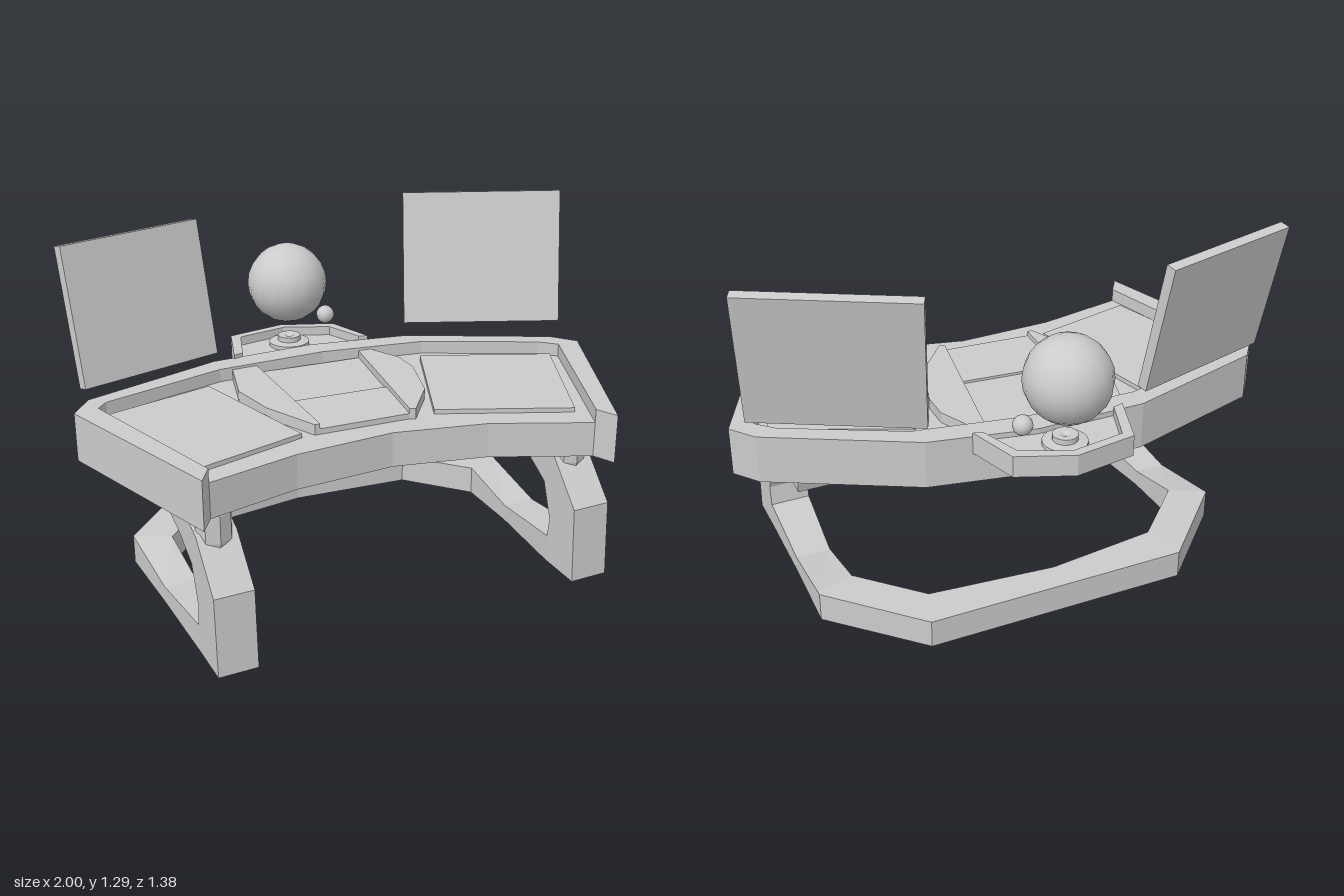
import * as THREE from 'three';

const grey = new THREE.MeshStandardMaterial({ color: 0xcccccc, flatShading: true, side: THREE.DoubleSide });
const smooth = new THREE.MeshStandardMaterial({ color: 0xcccccc });

function add(parent, name, geometry, material = grey) {
  const mesh = new THREE.Mesh(geometry, material);
  mesh.name = name;
  parent.add(mesh);
  return mesh;
}

// Flat slab: plan outline of [x, z] points between two heights.
function slab(parent, name, plan, y0, y1) {
  const shape = new THREE.Shape(plan.map(([x, z]) => new THREE.Vector2(x, -z)));
  const geo = new THREE.ExtrudeGeometry(shape, { depth: y1 - y0, bevelEnabled: false });
  geo.rotateX(-Math.PI / 2).translate(0, y0, 0);
  return add(parent, name, geo);
}

// Raised rim between an outer and an inner open line.
const rim = (parent, name, outer, inner, y0, y1) =>
  slab(parent, name, [...outer, ...[...inner].reverse()], y0, y1);

// Tilted panel from three front corners: bottom left, bottom right, top left.
function panel(parent, name, bl, br, tl, depth) {
  const p = new THREE.Vector3(...bl);
  const u = new THREE.Vector3(...br).sub(p), v = new THREE.Vector3(...tl).sub(p);
  const centre = p.clone().addScaledVector(u, 0.5).addScaledVector(v, 0.5);
  const n = u.clone().cross(v).normalize();
  const geo = new THREE.BoxGeometry(1, 1, 1).translate(0, 0, -0.5);
  geo.applyMatrix4(new THREE.Matrix4().makeBasis(u, v, n.multiplyScalar(depth)).setPosition(centre));
  add(parent, name, geo);
}

// Bar through four-cornered sections, closed at both ends.
function bar(parent, name, sections) {
  const pos = sections.flat(2), idx = [];
  for (let i = 0; i < sections.length - 1; i++)
    for (let k = 0; k < 4; k++) {
      const a = i * 4 + k, b = i * 4 + (k + 1) % 4;
      idx.push(a, b, b + 4, a, b + 4, a + 4);
    }
  const e = (sections.length - 1) * 4;
  idx.push(0, 2, 1, 0, 3, 2, e, e + 1, e + 2, e, e + 2, e + 3);
  const geo = new THREE.BufferGeometry();
  geo.setAttribute('position', new THREE.Float32BufferAttribute(pos, 3));
  geo.setIndex(idx);
  geo.computeVertexNormals();
  add(parent, name, geo);
}

export function createModel() {
  const model = new THREE.Group();
  model.name = 'desk';

  // Curved desktop with a rim round the sides and back
  const outer = [[-0.79, 0.53], [-1, -0.17], [-0.92, -0.27], [-0.38, -0.43], [0.03, -0.435],
    [0.42, -0.36], [0.93, -0.09], [1, 0], [0.685, 0.69]];
  const inner = [[-0.74, 0.455], [-0.91, -0.18], [-0.87, -0.22], [-0.39, -0.34], [0.04, -0.34],
    [0.44, -0.27], [0.85, -0.06], [0.91, 0], [0.65, 0.61]];
  const front = [[0.65, 0.61], [0.31, 0.45], [-0.03, 0.37], [-0.4, 0.385], [-0.74, 0.455]];
  slab(model, 'desktop', [...outer, ...front], 0.535, 0.665);
  rim(model, 'desktopRim', outer, inner, 0.665, 0.715);

  // Side pads and centre console
  slab(model, 'rightPad', [[-0.9, -0.18], [-0.46, -0.28], [-0.33, 0.27], [-0.73, 0.37]], 0.66, 0.682);
  slab(model, 'leftPad', [[0.4, -0.21], [0.87, 0], [0.64, 0.5], [0.18, 0.29]], 0.66, 0.682);
  slab(model, 'consoleRightSide',
    [[-0.24, -0.34], [-0.34, -0.34], [-0.4, -0.13], [-0.37, 0.06], [-0.28, 0.27], [-0.26, 0.27]], 0.66, 0.705);
  slab(model, 'consoleLeftSide',
    [[0.18, -0.31], [0.23, -0.31], [0.29, -0.18], [0.29, -0.07], [0.22, 0.15], [0.1, 0.3], [0.08, 0.29]], 0.66, 0.705);
  slab(model, 'consoleBack', [[-0.24, -0.34], [0.18, -0.31], [0.13, 0.03], [-0.25, 0]], 0.66, 0.676);
  slab(model, 'consoleFront', [[-0.25, 0], [0.13, 0.03], [0.08, 0.29], [-0.26, 0.27]], 0.66, 0.686);

  // Small tray at the back with a round stand
  const trayOuter = [[-0.3, -0.42], [-0.23, -0.63], [0, -0.665], [0.2, -0.585], [0.26, -0.39]];
  const trayInner = [[-0.26, -0.43], [-0.2, -0.6], [0, -0.63], [0.17, -0.555], [0.225, -0.4]];
  slab(model, 'backTray', trayOuter, 0.65, 0.695);
  rim(model, 'backTrayRim', trayOuter, trayInner, 0.695, 0.73);
  const stand = [[0, 0.69], [0.08, 0.69], [0.08, 0.71], [0.045, 0.715], [0.045, 0.735], [0.02, 0.735], [0, 0.725]];
  add(model, 'roundStand', new THREE.LatheGeometry(stand.map(([r, y]) => new THREE.Vector2(r, y)), 18))
    .position.set(-0.02, 0, -0.53);

  // Floating globe and its small companion
  add(model, 'globe', new THREE.SphereGeometry(0.155, 16, 12), smooth).position.set(-0.02, 0.95, -0.54);
  add(model, 'smallGlobe', new THREE.SphereGeometry(0.036, 12, 8), smooth).position.set(0.135, 0.8, -0.52);

  // Floating screens
  panel(model, 'rightScreen', [-0.935, 0.77, -0.235], [-0.38, 0.765, -0.385], [-0.96, 1.27, -0.335], 0.04);
  panel(model, 'leftScreen', [0.395, 0.78, -0.335], [0.945, 0.79, -0.06], [0.43, 1.285, -0.425], 0.04);

  // Curved legs: side profile as [z, y], with rounded brackets under the desktop
  const profile = [[0.56, 0], [0.545, 0.29], [0.4, 0.45], [0.19, 0.54], [-0.065, 0.54], [-0.035, 0.42],
    [0.11, 0.435], [0.235, 0.39], [0.345, 0.325], [0.395, 0.185], [0.385, 0.11], [0.385, 0.005]];
  for (const [side, x0, x1] of [['right', -0.775, -0.63], ['left', 0.635, 0.785]]) {
    const shape = new THREE.Shape(profile.map(([z, y]) => new THREE.Vector2(-z, y)));
    const geo = new THREE.ExtrudeGeometry(shape, { depth: x1 - x0, bevelEnabled: false });
    geo.rotateY(Math.PI / 2).translate(x0, 0, 0);
    add(model, side + 'Leg', geo);
    const x = (x0 + x1) / 2;
    add(model, side + 'Bracket', new THREE.CapsuleGeometry(0.065, 0.1, 3, 8)).position.set(x, 0.475, 0.375);
  }

  // Floor rail running from foot to foot round the back: [outer x, z, inner x, z, top]
  const path = [[-0.775, 0.4, -0.63, 0.385, 0.11], [-0.78, 0.05, -0.66, 0.05, 0.08], [-0.79, -0.27, -0.66, -0.2, 0.135],
    [-0.48, -0.58, -0.44, -0.42, 0.14], [0, -0.58, -0.02, -0.47, 0.14], [0.5, -0.58, 0.45, -0.43, 0.14],
    [0.8, -0.27, 0.66, -0.21, 0.135], [0.79, 0.05, 0.66, 0.05, 0.08], [0.785, 0.4, 0.635, 0.385, 0.11]];
  const bottom = z => 0.017 - 0.031 * z;
  bar(model, 'floorRail', path.map(([ox, oz, ix, iz, top]) =>
    [[ox, bottom(oz), oz], [ox, top, oz], [ix, top, iz], [ix, bottom(iz), iz]]));
  return model;
}
